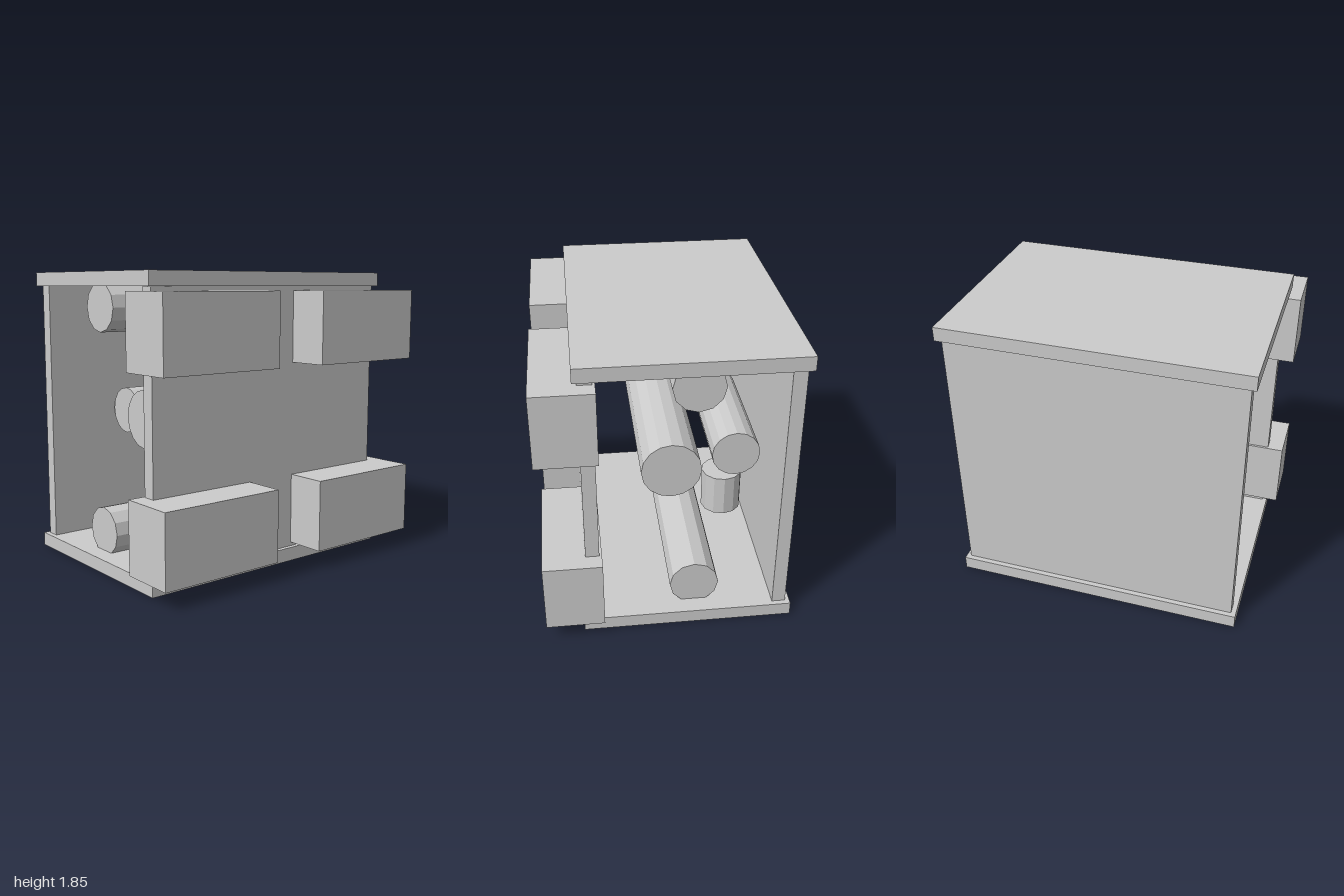
import * as THREE from 'three';

export function createModel() {
  const model = new THREE.Group();
  const grey = new THREE.MeshStandardMaterial({ color: 0xcccccc, flatShading: true });
  const MID = 0.925; // mid height, used for mirroring upper and lower parts

  const add = (name, geometry, x, y, z) => {
    const mesh = new THREE.Mesh(geometry, grey);
    mesh.name = name;
    mesh.position.set(x, y, z);
    model.add(mesh);
    return mesh;
  };

  // A faceted roller lying along x
  const roller = (name, radius, length, sides, y, z) => {
    const geometry = new THREE.CylinderGeometry(radius, radius, length, sides);
    geometry.rotateZ(Math.PI / 2);
    add(name, geometry, 0, y, z);
  };

  // Front and back panels
  add('frontPanel', new THREE.BoxGeometry(1.794, 1.67, 0.084), 0, MID, 0.47);
  add('backPanel', new THREE.BoxGeometry(1.794, 1.67, 0.084), 0, MID, -0.7);

  for (const side of [-1, 1]) {
    const level = side > 0 ? 'upper' : 'lower';

    // Top and bottom plates
    add(level + 'Plate', new THREE.BoxGeometry(1.855, 0.087, 1.31), 0, MID + side * 0.88, -0.117);

    // Corner blocks through the front panel
    for (const x of [-1, 1]) {
      add(level + (x > 0 ? 'Left' : 'Right') + 'Block',
        new THREE.BoxGeometry(0.825, 0.449, 0.359), x * 0.5875, MID + side * 0.585, 0.592);
    }

    // Long rollers against the plates
    roller(level + 'Roller', 0.154, 1.63, 12, MID + side * 0.707, -0.165);

    // Short upright drums near the back panel
    add(level + 'Drum', new THREE.CylinderGeometry(0.139, 0.139, 0.29, 12), 0, MID + side * 0.551, -0.475);
  }

  // Two rollers at mid height
  roller('largeMiddleRoller', 0.189, 1.16, 16, MID, -0.045);
  roller('smallMiddleRoller', 0.154, 0.87, 16, MID, -0.475);

  return model;
}
